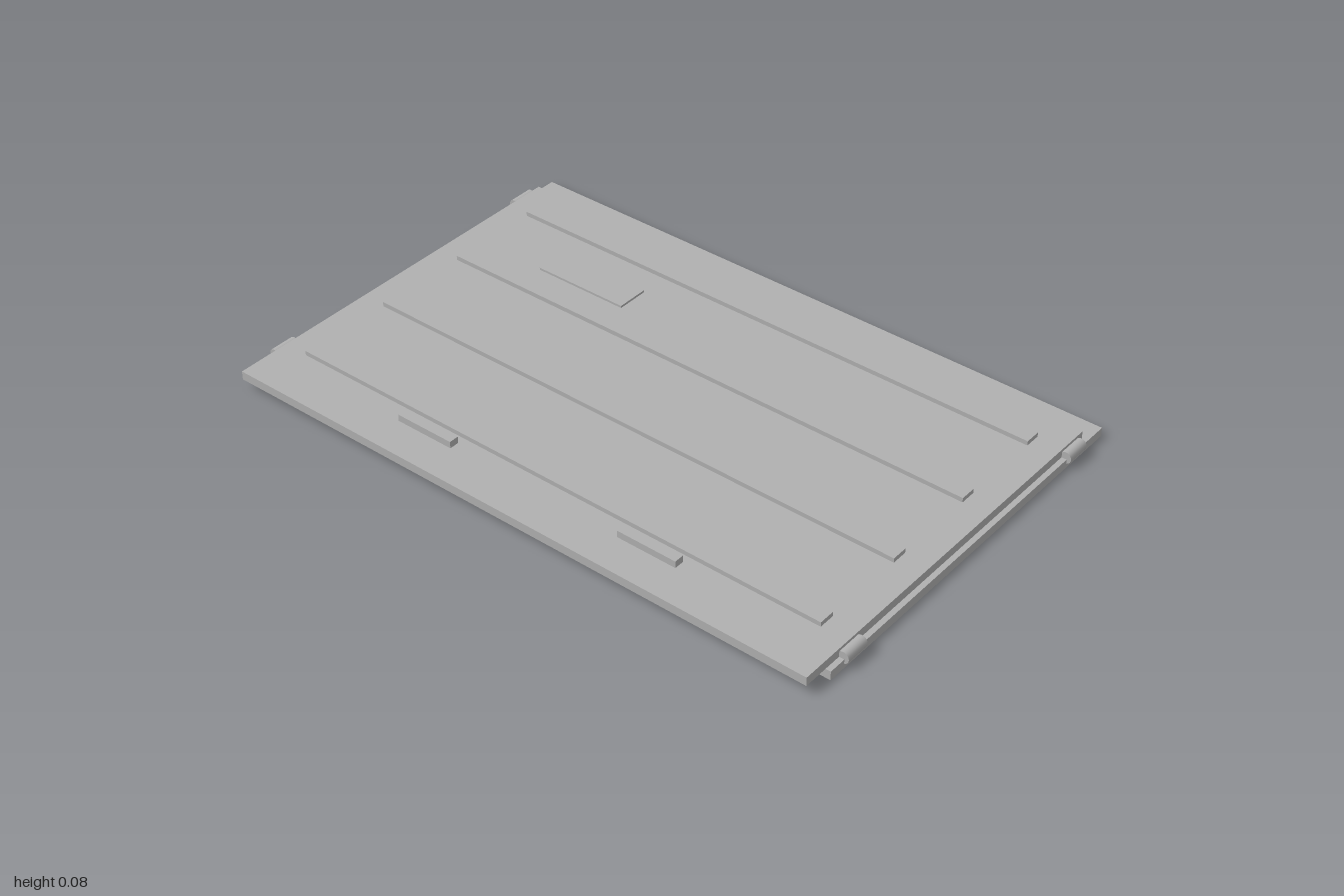
import * as THREE from 'three';

export function createModel() {
  const group = new THREE.Group();
  group.name = 'foldedPanel';
  const grey = new THREE.MeshStandardMaterial({ color: 0xb0b0b0 });
  grey.name = 'grey';

  // Box given by its extents on each axis
  function box(name, [x0, x1], [y0, y1], [z0, z1]) {
    const mesh = new THREE.Mesh(new THREE.BoxGeometry(x1 - x0, y1 - y0, z1 - z0), grey);
    mesh.position.set((x0 + x1) / 2, (y0 + y1) / 2, (z0 + z1) / 2);
    mesh.name = name;
    group.add(mesh);
  }

  // Two stacked slabs, offset from each other front to back
  const top = 0.055;
  box('lowerSlab', [-0.987, 0.987], [0, 0.028], [-0.657, 0.58]);
  box('upperSlab', [-0.971, 0.971], [0.028, top], [-0.579, 0.657]);

  // Long ribs across the top
  for (let i = 0; i < 4; i++) {
    const z = -0.458 + i * 0.308;
    box('rib', [-0.89, 0.89], [top, 0.069], [z - 0.025, z + 0.025]);
  }

  // Thin label plate near the back
  box('plate', [-0.667, -0.357], [top, 0.062], [-0.343, -0.24]);

  for (const side of [-1, 1]) {
    // Handles near the front edge
    const x = side * 0.384;
    box('handle', [x - 0.095, x + 0.095], [top, 0.076], [0.515, 0.545]);

    // Hinge barrels along the sides
    for (const z of [0.486, -0.517]) {
      const hinge = new THREE.Mesh(new THREE.CylinderGeometry(0.018, 0.018, 0.078, 24), grey);
      hinge.rotation.x = Math.PI / 2;
      hinge.position.set(side * 0.982, 0.032, z);
      hinge.name = 'hinge';
      group.add(hinge);
    }
  }
  return group;
}
